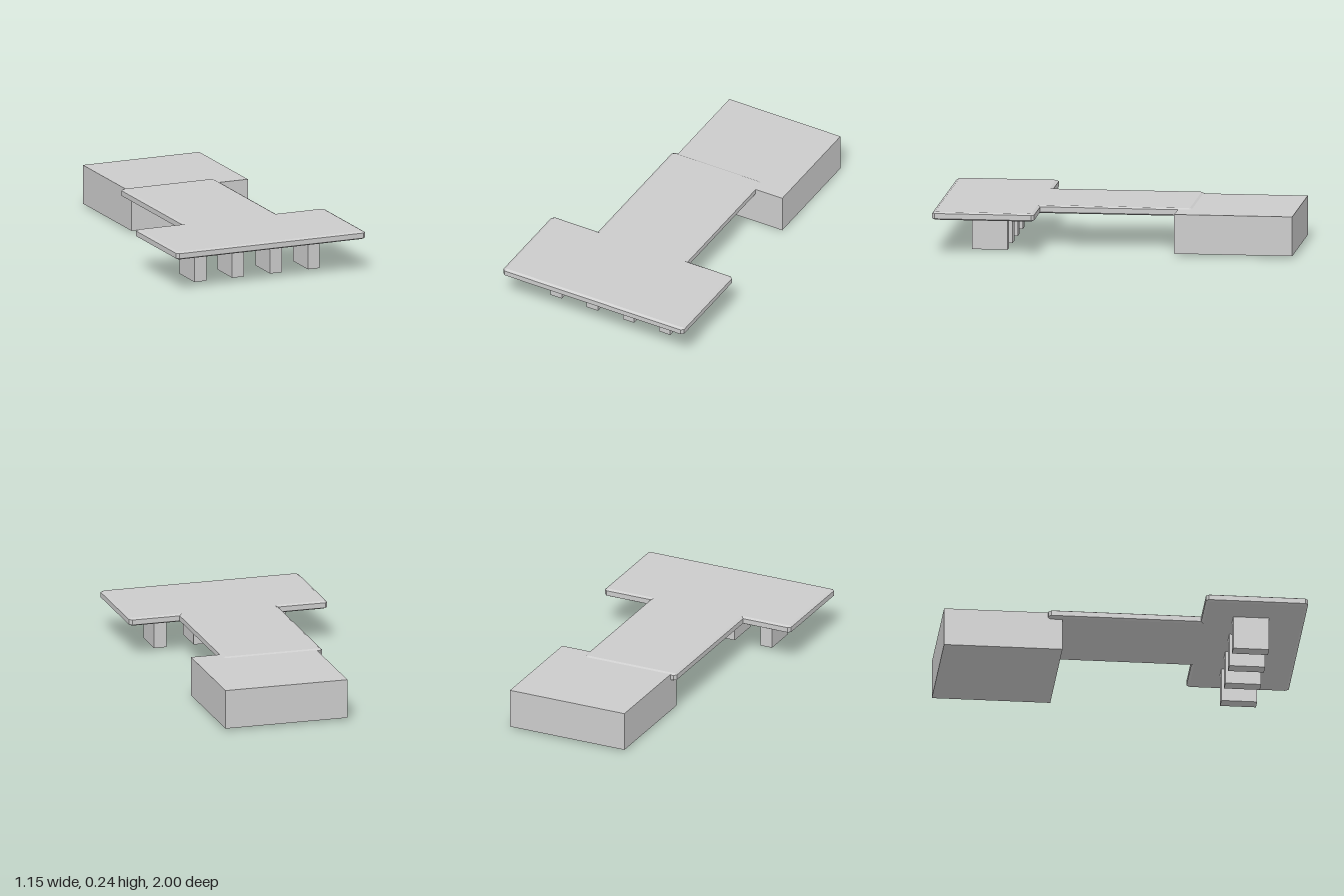
import * as THREE from 'three';

const material = new THREE.MeshStandardMaterial({ color: 0xcccccc, flatShading: true });

function addBox(parent, name, [x0, x1], [y0, y1], [z0, z1]) {
  const mesh = new THREE.Mesh(new THREE.BoxGeometry(x1 - x0, y1 - y0, z1 - z0), material);
  mesh.position.set((x0 + x1) / 2, (y0 + y1) / 2, (z0 + z1) / 2);
  mesh.name = name;
  parent.add(mesh);
}

// T-shaped deck with chamfered rims and clipped outer corners
function createDeck() {
  const stem = 0.285, wing = 0.575, back = -0.42, step = 0.43, front = 1;
  const clip = 0.015, bottom = 0.192, top = 0.237, bevel = 0.008;
  // Right half of the outline as (x, z), mirrored for the other half
  const half = [
    [stem - clip, back], [stem, back + clip],
    [stem, step],
    [wing - clip, step], [wing, step + clip],
    [wing, front - clip], [wing - clip, front],
  ];
  const outline = [...half, ...half.map(([x, z]) => [-x, z]).reverse()];
  const shape = new THREE.Shape(outline.map(([x, z]) => new THREE.Vector2(x, -z)));
  const geometry = new THREE.ExtrudeGeometry(shape, {
    depth: top - bottom - 2 * bevel,
    bevelSegments: 1,
    bevelThickness: bevel,
    bevelSize: 0.015,
    bevelOffset: -0.015,
  });
  geometry.rotateX(-Math.PI / 2);
  geometry.translate(0, bottom + bevel, 0);
  const deck = new THREE.Mesh(geometry, material);
  deck.name = 'deck';
  return deck;
}

export function createModel() {
  const model = new THREE.Group();
  model.name = 'platform';
  model.add(createDeck());

  // Solid block under the back end, offset to one side
  addBox(model, 'backBlock', [-0.252, 0.455], [0.01, 0.231], [-1, -0.34]);

  // Row of four supports under the front wing
  const supports = new THREE.Group();
  supports.name = 'supports';
  for (let i = 0; i < 4; i++) {
    const x = -0.344 + i * 0.23;
    addBox(supports, `support${i + 1}`, [x - 0.036, x + 0.036], [0, 0.2], [0.6, 0.8]);
  }
  model.add(supports);
  return model;
}
